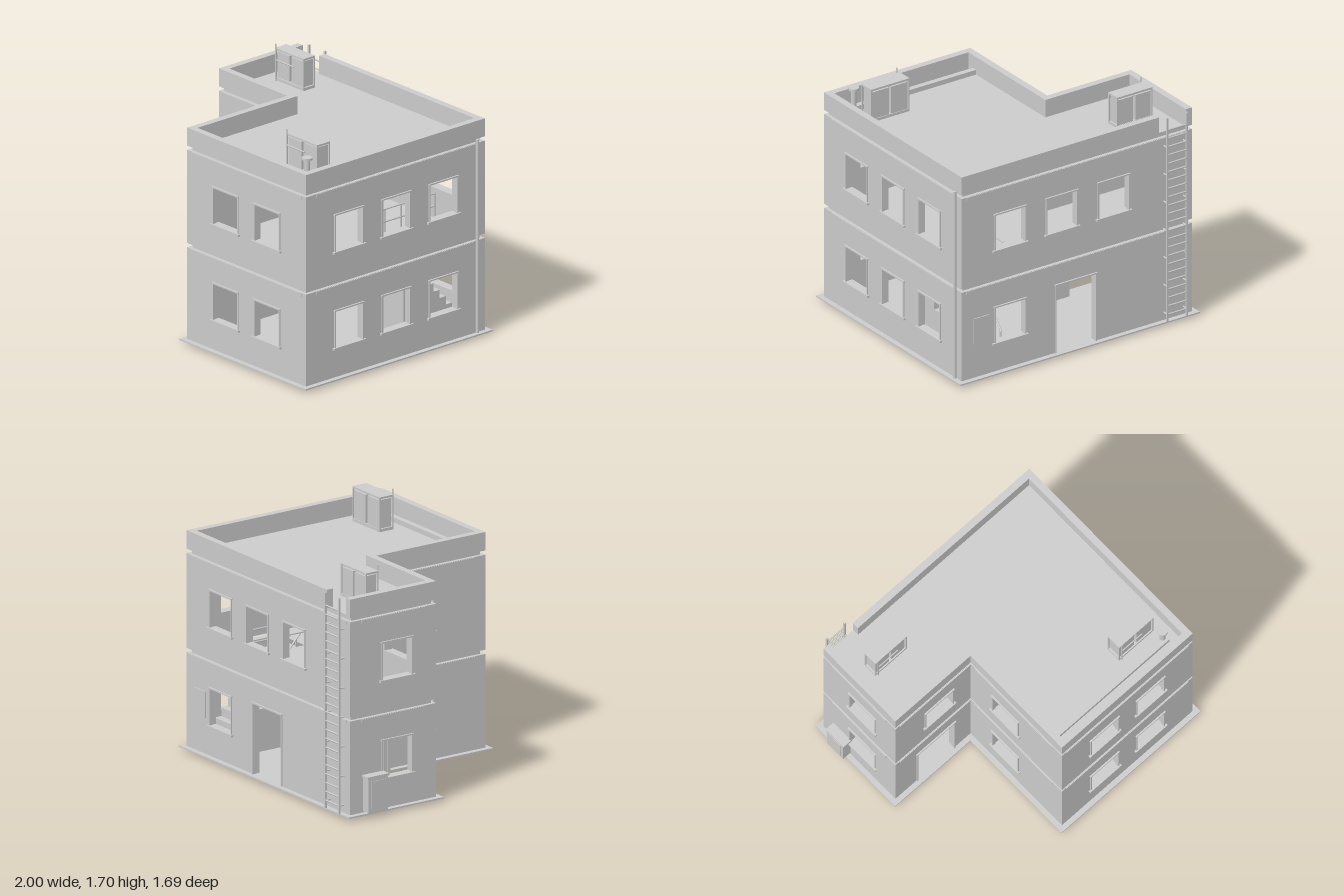
import * as THREE from 'three';

const concrete = new THREE.MeshStandardMaterial({ color: 0xcccccc });
concrete.name = 'concrete grey';

function add(parent, name, geo, x = 0, y = 0, z = 0) {
  const m = new THREE.Mesh(geo, concrete);
  m.name = name;
  m.position.set(x, y, z);
  parent.add(m);
  return m;
}

// Box given by its minimum and maximum corners
function block(parent, name, x0, x1, y0, y1, z0, z1) {
  return add(parent, name, new THREE.BoxGeometry(x1 - x0, y1 - y0, z1 - z0),
    (x0 + x1) / 2, (y0 + y1) / 2, (z0 + z1) / 2);
}

// Round bar between two points
function bar(parent, name, a, b, r) {
  const p = new THREE.Vector3(...a), d = new THREE.Vector3(...b).sub(p);
  const m = add(parent, name, new THREE.CylinderGeometry(r, r, d.length(), 8));
  m.position.copy(p).addScaledVector(d, 0.5);
  m.quaternion.setFromUnitVectors(new THREE.Vector3(0, 1, 0), d.normalize());
  return m;
}

const planShape = pts => new THREE.Shape(pts.map(([x, z]) => new THREE.Vector2(x, -z)));

// Horizontal slab extruded upward from a plan of [x, z] points
function slab(parent, name, pts, y0, y1, hole) {
  const s = planShape(pts);
  if (hole) s.holes.push(planShape(hole));
  const g = new THREE.ExtrudeGeometry(s, { depth: y1 - y0, bevelEnabled: false });
  g.rotateX(-Math.PI / 2);
  return add(parent, name, g, 0, y0, 0);
}

// L-shaped footprint grown by o
const footprint = o => [[-0.93 - o, -0.8 - o], [0.96 + o, -0.8 - o], [0.96 + o, 0.81 + o],
  [-0.24 - o, 0.81 + o], [-0.24 - o, -0.09 + o], [-0.93 - o, -0.09 + o]];

const T = 0.05;
const win = u => ({ u, w: 0.25, y0: 0.215, y1: 0.475, sill: true });
const door = (u, w) => ({ u, w, y0: 0, y1: 0.5, sill: false });

// Wall with openings; local x runs along it and local z points outward
function wall(parent, name, x, y, z, turn, len, h, openings) {
  const g = new THREE.Group();
  g.name = name;
  g.position.set(x, y, z);
  g.rotation.y = turn * Math.PI / 2;
  parent.add(g);
  const s = new THREE.Shape();
  const L = len / 2;
  s.moveTo(-L, 0);
  for (const o of openings.filter(o => !o.sill)) {
    s.lineTo(o.u - o.w / 2, 0); s.lineTo(o.u - o.w / 2, o.y1);
    s.lineTo(o.u + o.w / 2, o.y1); s.lineTo(o.u + o.w / 2, 0);
  }
  s.lineTo(L, 0); s.lineTo(L, h); s.lineTo(-L, h); s.closePath();
  for (const o of openings.filter(o => o.sill)) {
    const a = o.u - o.w / 2, b = o.u + o.w / 2;
    s.holes.push(new THREE.Path([[a, o.y0], [a, o.y1], [b, o.y1], [b, o.y0]]
      .map(p => new THREE.Vector2(...p))));
  }
  add(g, 'wallPanel', new THREE.ExtrudeGeometry(s, { depth: T, bevelEnabled: false }), 0, 0, -T);
  block(g, 'wallTopBand', -L + 0.04, L - 0.04, h - 0.025, h - 0.002, -0.01, 0.005);
  for (const o of openings) {
    const a = o.u - o.w / 2, b = o.u + o.w / 2;
    block(g, 'lintelTrim', a - 0.01, b + 0.01, o.y1, o.y1 + 0.01, -0.02, 0.012);
    for (const e of [a - 0.006, b - 0.004])
      block(g, 'jambTrim', e, e + 0.01, o.y0, o.y1, -0.02, 0.008);
    if (o.sill) block(g, 'windowSill', a - 0.02, b + 0.02, o.y0 - 0.015, o.y0, -T + 0.005, 0.018);
  }
}

function storey(parent, name, y, h, lower) {
  const g = new THREE.Group();
  g.name = name;
  parent.add(g);
  wall(g, 'frontWall', 0.36, y, 0.81, 0, 1.2, h, [win(-0.21), win(0.21)]);
  wall(g, 'recessedFrontWall', -0.56, y, -0.09, 0, 0.74, h, [lower ? door(0, 0.34) : win(0.03)]);
  wall(g, 'leftWall', 0.96, y, 0.005, 1, 1.51, h, [win(-0.42), win(0.005), win(0.43)]);
  wall(g, 'backWall', 0.015, y, -0.8, 2, 1.89, h,
    lower ? [door(-0.01, 0.33), win(-0.55)] : [win(0.3), win(-0.125), win(-0.55)]);
  wall(g, 'rightWall', -0.93, y, -0.445, -1, 0.61, h, [win(0.03)]);
  wall(g, 'recessSideWall', -0.24, y, 0.335, -1, 0.85, h, [win(-0.08)]);
}

// Rooftop cabinet pair in a frame with a lid, mast and pipe
function roofUnit(parent, x0, x1, z0, z1, top) {
  const g = new THREE.Group();
  g.name = 'rooftopUnit';
  parent.add(g);
  const y = 1.42, mid = (x0 + x1) / 2;
  block(g, 'unitBase', x0, x1, y, y + 0.02, z0, z1);
  block(g, 'unitLid', x0, x1, top - 0.014, top, z0, z1);
  block(g, 'cabinet', x0 + 0.014, mid - 0.01, y + 0.02, top - 0.025, z0 + 0.005, z1 - 0.01);
  block(g, 'cabinet', mid + 0.01, x1 - 0.014, y + 0.02, top - 0.025, z0 + 0.005, z1 - 0.01);
  for (const x of [x0, x1 - 0.01])
    for (const z of [z0, z1 - 0.01])
      block(g, 'framePost', x, x + 0.01, y + 0.02, top - 0.014, z, z + 0.01);
  bar(g, 'mast', [x0 + 0.018, y, z1 + 0.008], [x0 + 0.018, top + 0.035, z1 + 0.008], 0.005);
  bar(g, 'unitPipe', [x0 + 0.018, top - 0.08, z1 + 0.008], [x0 + 0.2, top - 0.08, z1 + 0.008], 0.005);
}

export function createModel() {
  const model = new THREE.Group();
  model.name = 'building';

  // Base, floors and parapet
  slab(model, 'foundation', footprint(-0.025), 0, 0.02);
  slab(model, 'groundSlab', footprint(0.038), 0.02, 0.03);
  storey(model, 'groundStorey', 0.03, 0.66, true);
  slab(model, 'upperFloor', footprint(-0.025), 0.69, 0.72,
    [[0.55, -0.72], [0.9, -0.72], [0.9, -0.12], [0.55, -0.12]]);
  storey(model, 'upperStorey', 0.72, 0.67, false);
  slab(model, 'roofDeck', footprint(-0.025), 1.39, 1.42);
  slab(model, 'parapet', [[-0.66, -0.8], [0.96, -0.8], [0.96, 0.81], [-0.24, 0.81], [-0.24, -0.09],
    [-0.93, -0.09], [-0.93, -0.8], [-0.88, -0.8], [-0.88, -0.14], [-0.19, -0.14], [-0.19, 0.76],
    [0.91, 0.76], [0.91, -0.75], [-0.66, -0.75]], 1.42, 1.55);

  // Inner staircase and railings
  for (let i = 0; i < 11; i++) {
    const z = -0.72 + i * 0.0545;
    block(model, 'stairStep', 0.565, 0.9, 0.03, 0.09 + i * 0.06, z, z + 0.0545);
  }
  bar(model, 'stairRail', [0.55, 0.24, -0.68], [0.55, 0.84, -0.13], 0.006);
  for (let i = 0; i < 4; i++) {
    const z = -0.67 + i * 0.16;
    bar(model, 'stairRailPost', [0.55, 0.05 + i * 0.17, z], [0.55, 0.25 + i * 0.175, z], 0.006);
  }
  for (const y of [0.82, 0.91])
    bar(model, 'landingRail', [0.54, y, -0.72], [0.54, y, -0.12], 0.006);
  for (let i = 0; i < 5; i++)
    bar(model, 'landingRailPost', [0.54, 0.72, -0.72 + i * 0.15], [0.54, 0.91, -0.72 + i * 0.15], 0.006);

  // Roof access ladder
  const ladder = new THREE.Group();
  ladder.name = 'ladder';
  model.add(ladder);
  for (const x of [-0.86, -0.7]) {
    block(ladder, 'ladderRail', x - 0.006, x + 0.006, 0.03, 1.55, -0.847, -0.832);
    for (let i = 0; i < 7; i++)
      bar(ladder, 'ladderBracket', [x, 0.085 + i * 0.207, -0.795], [x, 0.085 + i * 0.207, -0.84], 0.006);
  }
  for (let i = 0; i < 23; i++)
    bar(ladder, 'ladderRung', [-0.86, 0.085 + i * 0.0625, -0.84], [-0.7, 0.085 + i * 0.0625, -0.84], 0.006);

  // Drain pipe, wall cabinet and back panel
  bar(model, 'drainPipe', [0.967, 0.03, -0.727], [0.967, 1.42, -0.727], 0.012);
  block(model, 'wallCabinet', -0.996, -0.93, 0.04, 0.285, -0.695, -0.535);
  block(model, 'wallCabinetLid', -1, -0.93, 0.28, 0.295, -0.703, -0.527);
  block(model, 'wallCabinetDoor', -1, -0.995, 0.07, 0.26, -0.675, -0.555);
  block(model, 'backPanel', 0.735, 0.865, 0.28, 0.47, -0.807, -0.795);

  // Rooftop equipment
  roofUnit(model, -0.775, -0.485, -0.56, -0.455, 1.65);
  roofUnit(model, 0.5, 0.815, 0.465, 0.58, 1.665);
  block(model, 'roofDuct', -0.19, 0.84, 1.42, 1.455, 0.67, 0.71);
  add(model, 'ventPipe', new THREE.CylinderGeometry(0.02, 0.02, 0.17, 16), 0.815, 1.505, 0.67);
  add(model, 'ventCap', new THREE.CylinderGeometry(0.037, 0.037, 0.015, 20), 0.815, 1.595, 0.67);

  return model;
}
